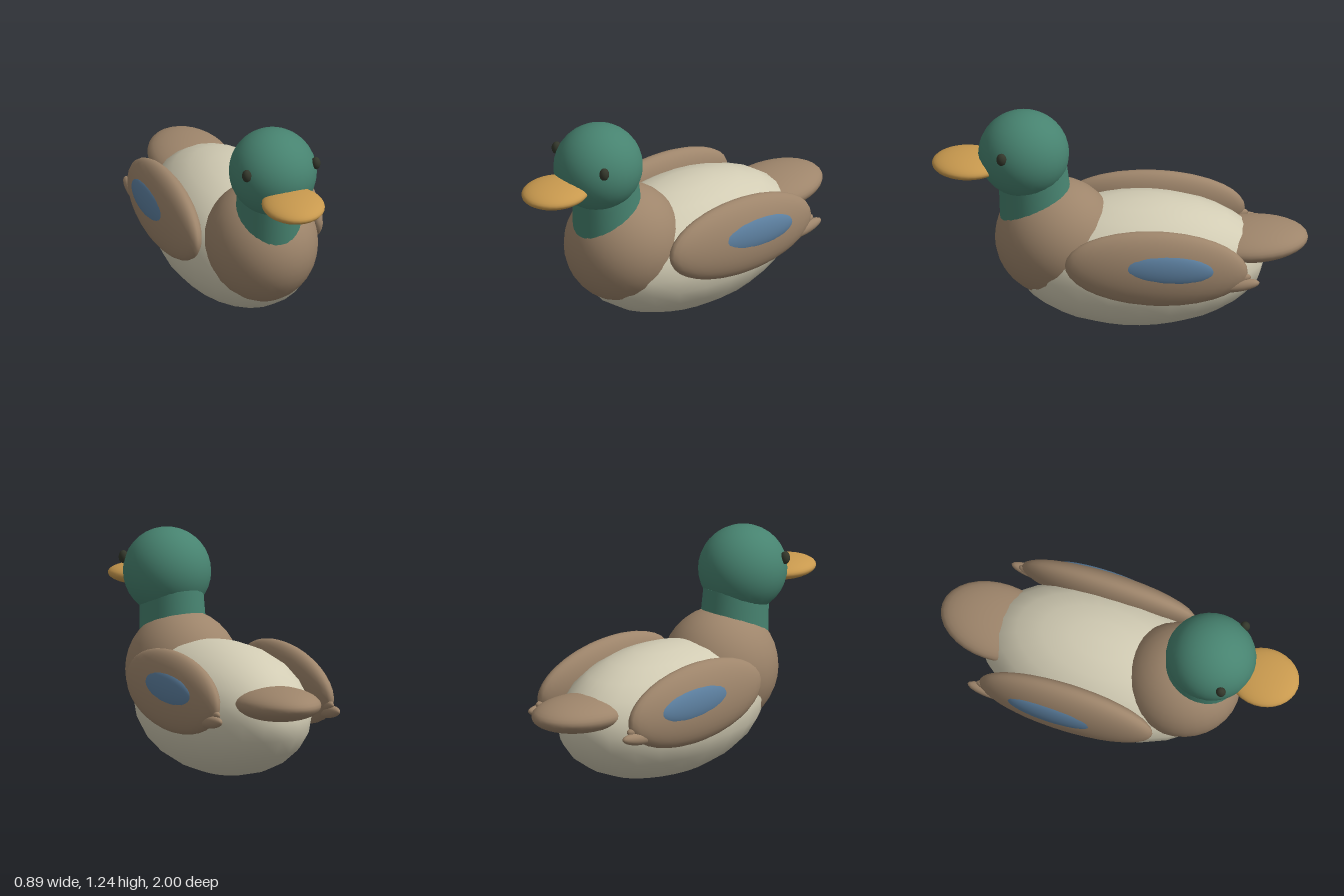
import * as THREE from 'three';

const mat = (color) => new THREE.MeshStandardMaterial({ color });

export function createModel() {
  const duck = new THREE.Group();
  duck.name = 'duck';
  const cream = mat(0xd2ccb4), brown = mat(0x9e856b), green = mat(0x478370);
  const orange = mat(0xc8994e), blue = mat(0x5c7f9f), dark = mat(0x33372b);

  // Smooth ellipsoid given by its radii, centre and rotation
  const blob = (parent, name, material, radii, centre, rotation = [0, 0, 0], w = 32, h = 18) => {
    const mesh = new THREE.Mesh(new THREE.SphereGeometry(1, w, h), material);
    mesh.name = name;
    mesh.scale.set(...radii);
    mesh.position.set(...centre);
    mesh.rotation.set(...rotation);
    parent.add(mesh);
    return mesh;
  };

  // Body, chest and tail
  blob(duck, 'body', cream, [0.395, 0.355, 0.67], [0, 0.355, -0.1], [0, 0, 0], 24, 12);
  blob(duck, 'chest', brown, [0.3, 0.325, 0.325], [0, 0.49, 0.34]);
  blob(duck, 'tail', brown, [0.215, 0.09, 0.31], [0, 0.46, -0.69], [0.03, 0, 0]);

  // Neck, tapering upwards and leaning slightly forward
  const neckGeometry = new THREE.CylinderGeometry(0.165, 0.18, 0.36, 32);
  neckGeometry.scale(1, 1, 1.11);
  const neck = new THREE.Mesh(neckGeometry, green);
  neck.name = 'neck';
  neck.position.set(0, 0.73, 0.45);
  neck.rotation.x = 0.08;
  duck.add(neck);

  // Head and bill
  blob(duck, 'head', green, [0.233, 0.235, 0.242], [0, 1.0, 0.512]);
  blob(duck, 'bill', orange, [0.165, 0.055, 0.19], [0, 0.945, 0.81]);

  for (const side of [1, -1]) {
    const label = side > 0 ? 'left' : 'right';
    blob(duck, label + 'Eye', dark, [0.025, 0.035, 0.027], [side * 0.197, 1.073, 0.635], [0, 0, 0], 16, 12);

    // Wing leaning in at the top, with a coloured patch
    const wing = new THREE.Group();
    wing.name = label + 'Wing';
    wing.position.set(side * 0.345, 0.48, -0.185);
    wing.rotation.set(-0.06, 0, side * 0.11);
    duck.add(wing);
    blob(wing, 'wingShell', brown, [0.094, 0.212, 0.487], [0, 0, 0]);
    blob(wing, 'wingPatch', blue, [0.042, 0.095, 0.27], [side * 0.06, 0.02, -0.045]);

    // Feather tips behind the wing
    blob(duck, label + 'FeatherTip', brown, [0.034, 0.035, 0.125], [side * 0.357, 0.378, -0.61], [0.13, 0, 0], 20, 12);
    blob(duck, label + 'UpperFeatherTip', brown, [0.03, 0.035, 0.11], [side * 0.345, 0.41, -0.58], [0.13, 0, 0], 20, 12);
  }
  return duck;
}
